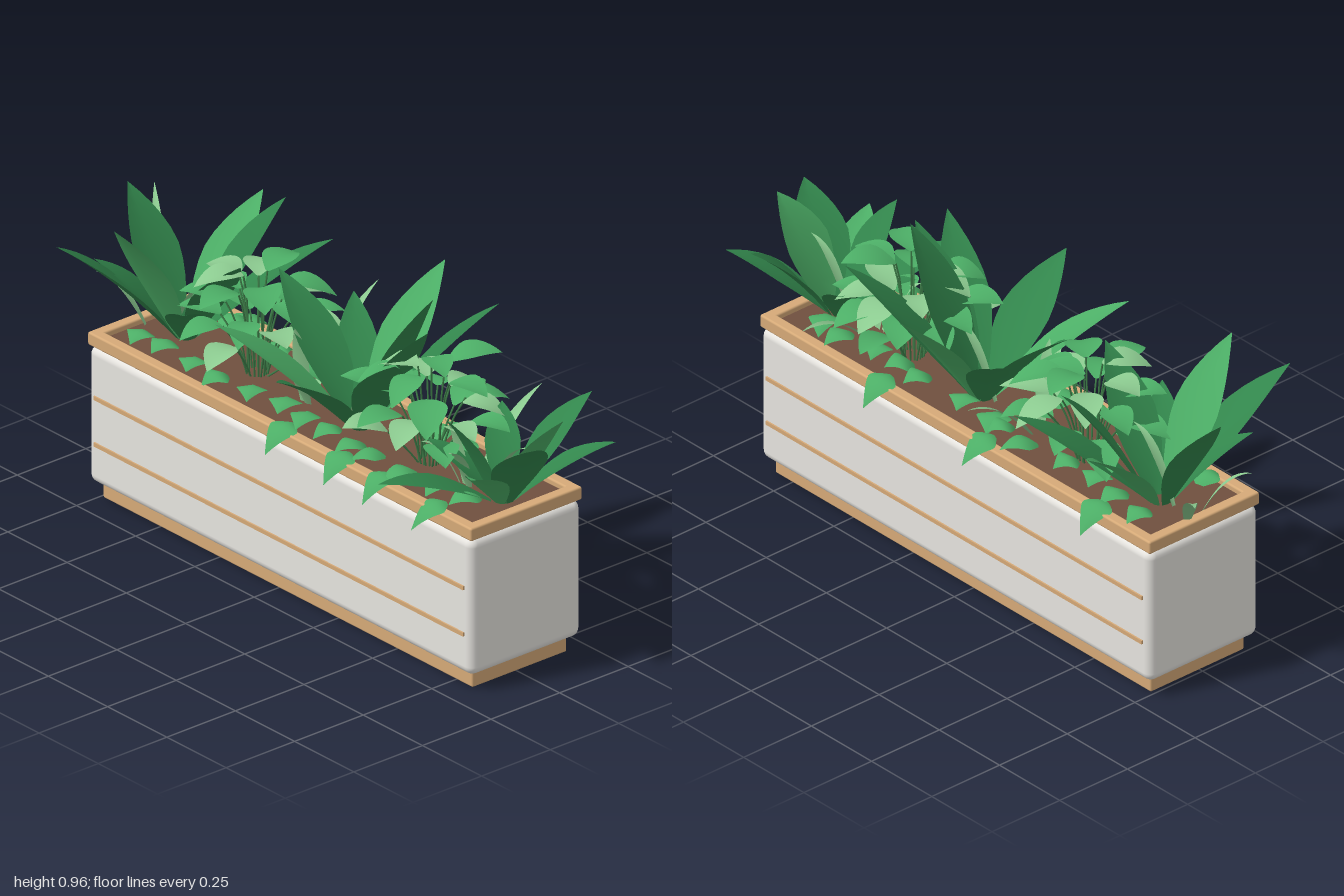
import * as THREE from 'three';
import { RoundedBoxGeometry } from 'three/addons/geometries/RoundedBoxGeometry.js';

const material = (name, color, side = THREE.FrontSide) => {
  const m = new THREE.MeshStandardMaterial({ color, side });
  m.name = name;
  return m;
};
const V = (x, y, z) => new THREE.Vector3(x, y, z);

// A folded leaf that follows a curve from base to tip; peak sets where it is widest.
function leafGeometry(base, tip, width, { peak = 0.5, fold = 0.2, arch = 0.1, stalk = 0.12, taper = 1.5 } = {}) {
  const rows = 10, out = V(tip.x - base.x, 0, tip.z - base.z).normalize();
  const side = V(-out.z, 0, out.x);
  const control = base.clone().lerp(tip, 0.5);
  control.y += arch;
  const curve = new THREE.QuadraticBezierCurve3(base, control, tip);
  const pos = [], index = [];
  for (let i = 0; i <= rows; i++) {
    const t = i / rows, p = curve.getPoint(t);
    const normal = side.clone().cross(curve.getTangent(t)).normalize();
    const k = t < peak
      ? stalk + (1 - stalk) * Math.sin((t / peak) * Math.PI / 2)
      : 1 - Math.pow((t - peak) / (1 - peak), taper);
    const w = Math.max(0.0005, k * width / 2);
    for (const s of [-1, 0, 1]) {
      const q = p.clone().addScaledVector(side, s * w).addScaledVector(normal, Math.abs(s) * w * fold);
      pos.push(q.x, q.y, q.z);
    }
    if (i < rows) for (let j = 0; j < 2; j++) {
      const a = i * 3 + j, b = a + 3;
      index.push(a, a + 1, b, a + 1, b + 1, b);
    }
  }
  const g = new THREE.BufferGeometry();
  g.setAttribute('position', new THREE.Float32BufferAttribute(pos, 3));
  g.setIndex(index);
  g.computeVertexNormals();
  return g;
}

export function createModel() {
  const model = new THREE.Group();
  model.name = 'planterBox';
  const stone = material('paleStone', 0xe8e6e1);
  const wood = material('wood', 0xd6aa78);
  const soilMat = material('soil', 0x70503f);
  const dark = material('deepGreen', 0x32864c, THREE.DoubleSide);
  const mid = material('leafGreen', 0x4cae66, THREE.DoubleSide);
  const pale = material('paleGreen', 0x8ccb90, THREE.DoubleSide);
  const stemMat = material('stemGreen', 0x3d7d48);

  let seed = 7;
  const rand = (a, b) => {
    seed = (seed * 16807) % 2147483647;
    return a + (b - a) * seed / 2147483647;
  };
  const add = (parent, name, geometry, mat) => {
    const mesh = new THREE.Mesh(geometry, mat);
    mesh.name = name;
    parent.add(mesh);
    return mesh;
  };
  const group = (name) => {
    const g = new THREE.Group();
    g.name = name;
    model.add(g);
    return g;
  };

  // Trough, plinth, rim, slats and soil
  const cx = 0.04, cz = -0.01;
  const block = (name, w, h, d, r, x, y, z, mat) =>
    add(model, name, r ? new RoundedBoxGeometry(w, h, d, 3, r) : new THREE.BoxGeometry(w, h, d), mat)
      .position.set(cx + x, y, cz + z);
  block('plinth', 1.56, 0.05, 0.345, 0.006, 0, 0.025, 0, wood);
  block('trough', 1.62, 0.42, 0.404, 0.026, 0, 0.26, 0, stone);
  block('soil', 1.56, 0.03, 0.35, 0, 0, 0.478, 0, soilMat);
  for (const s of [-1, 1]) {
    block('rimLong', 1.62, 0.04, 0.035, 0.006, 0, 0.49, s * 0.1855, wood);
    block('rimShort', 0.035, 0.04, 0.4, 0.006, s * 0.7925, 0.49, 0, wood);
    for (const y of [0.175, 0.318]) block('slat', 1.56, 0.012, 0.01, 0, 0, y, s * 0.202, wood);
  }

  // Large rosettes: centre, then leaf tips as x, y, z, width
  const rosettes = [
    [-0.6, [[-0.87, 0.86, -0.04, 0.15], [-0.68, 0.8, -0.37, 0.14], [-0.35, 0.78, -0.34, 0.13],
      [-0.29, 0.84, 0.05, 0.14], [-0.72, 0.84, 0.35, 0.15], [-0.58, 0.912, 0.26, 0.16],
      [-0.48, 0.88, -0.28, 0.15], [-0.78, 0.72, 0.16, 0.11], [-0.38, 0.7, 0.18, 0.11]]],
    [0.14, [[-0.22, 0.84, -0.03, 0.15], [0.1, 0.88, -0.36, 0.16], [0.42, 0.89, -0.28, 0.14],
      [0.49, 0.865, 0.16, 0.14], [0.22, 0.78, 0.36, 0.16], [-0.13, 0.8, 0.28, 0.14],
      [0.385, 0.957, -0.07, 0.16], [0.455, 0.905, 0.01, 0.14], [-0.1, 0.76, -0.2, 0.12]]],
    [0.74, [[0.995, 0.77, 0.08, 0.16], [0.95, 0.8, -0.06, 0.17], [0.96, 0.68, -0.24, 0.11],
      [0.8, 0.76, -0.29, 0.13], [0.64, 0.62, 0.35, 0.12], [0.88, 0.68, 0.22, 0.12],
      [0.71, 0.79, 0.17, 0.13], [0.56, 0.68, -0.17, 0.1], [0.54, 0.64, 0.09, 0.09]]],
  ];
  for (const [x, tips] of rosettes) {
    const g = group('rosette');
    tips.forEach(([tx, ty, tz, w], i) => {
      const out = V(tx - x, 0, tz + 0.02).normalize();
      const base = V(x + out.x * 0.025, 0.485, -0.02 + out.z * 0.025);
      add(g, 'lanceLeaf', leafGeometry(base, V(tx, ty, tz), w, { arch: 0.05, stalk: 0.18 }), i % 4 === 1 ? mid : dark);
    });
    add(g, 'youngBlade', leafGeometry(V(x - 0.05, 0.485, -0.015), V(x + 0.12, 0.69, -0.015), 0.028,
      { arch: 0.1, stalk: 0.4 }), pale);
  }

  // Bushy plants: thin stems with broad oval leaves drooping outward
  for (const bx of [-0.3, 0.43]) {
    const g = group('bushyPlant');
    for (let i = 0; i < 22; i++) {
      const a = i * 2.4 + bx, f = i / 21, r = 0.015 + 0.115 * Math.sqrt(f);
      const h = 0.79 - 0.19 * f + rand(-0.035, 0.03);
      const dx = Math.cos(a), dz = Math.sin(a) * 0.95;
      const foot = V(bx + dx * 0.03, 0.485, -0.02 + dz * 0.03);
      const top = V(bx + dx * r, h, -0.02 + dz * r);
      const bend = V(bx + dx * r * 0.5, h * 0.9, -0.02 + dz * r * 0.5);
      add(g, 'stem', new THREE.TubeGeometry(new THREE.QuadraticBezierCurve3(foot, bend, top), 6, 0.0028, 5), stemMat);
      const len = rand(0.12, 0.165);
      const tip = V(top.x + dx * len, h + rand(-0.05, 0.025), top.z + dz * len);
      add(g, 'ovalLeaf', leafGeometry(top, tip, rand(0.085, 0.115), { arch: 0.035, peak: 0.42, taper: 1.8 }),
        i % 3 === 1 ? pale : mid);
    }
  }

  // Narrow arching blades: base x, z, then tip x, y, z, width
  const blades = group('archingBlades');
  const bladeList = [
    [-0.73, -0.04, -1, 0.74, -0.25, 0.04], [-0.72, 0.02, -0.84, 0.64, 0.1, 0.03],
    [-0.1, -0.05, -0.17, 0.72, -0.35, 0.035], [-0.08, 0, -0.06, 0.74, 0.05, 0.05],
    [-0.08, 0, -0.16, 0.69, 0.1, 0.045], [-0.06, 0, -0.01, 0.66, 0.14, 0.045],
    [0.6, -0.05, 0.52, 0.66, -0.35, 0.035], [0.6, 0, 0.6, 0.7, 0.06, 0.045],
    [0.62, 0, 0.67, 0.65, 0.12, 0.04], [0.58, 0, 0.53, 0.63, 0.1, 0.04],
  ];
  for (const [x, z, tx, ty, tz, w] of bladeList)
    add(blades, 'blade', leafGeometry(V(x, 0.485, z), V(tx, ty, tz), w, { arch: 0.07, peak: 0.4, stalk: 0.4 }), pale);

  // Creeping leaves along both long edges, with a few hanging over the rim
  const creepers = group('creepers');
  const creeper = (x, z, tip, arch) => add(creepers, 'creeperLeaf',
    leafGeometry(V(x, 0.52, z), tip, rand(0.085, 0.105), { arch, peak: 0.35, stalk: 0.3, fold: -0.25 }), mid);
  for (const s of [-1, 1]) {
    for (let i = 0; i < 13; i++) {
      const x = -0.66 + i * 0.115 + rand(-0.02, 0.02), z = cz + s * rand(0.06, 0.1);
      creeper(x, z, V(x + rand(-0.06, 0.06), rand(0.505, 0.525), z + s * rand(0.075, 0.1)), 0.05);
    }
    for (const x of s > 0 ? [0.04, 0.28, 0.45, 0.69] : [-0.53, -0.07, 0.36])
      creeper(x, cz + s * 0.155, V(x + rand(-0.03, 0.03), 0.455, cz + s * 0.26), 0.06);
  }
  return model;
}
